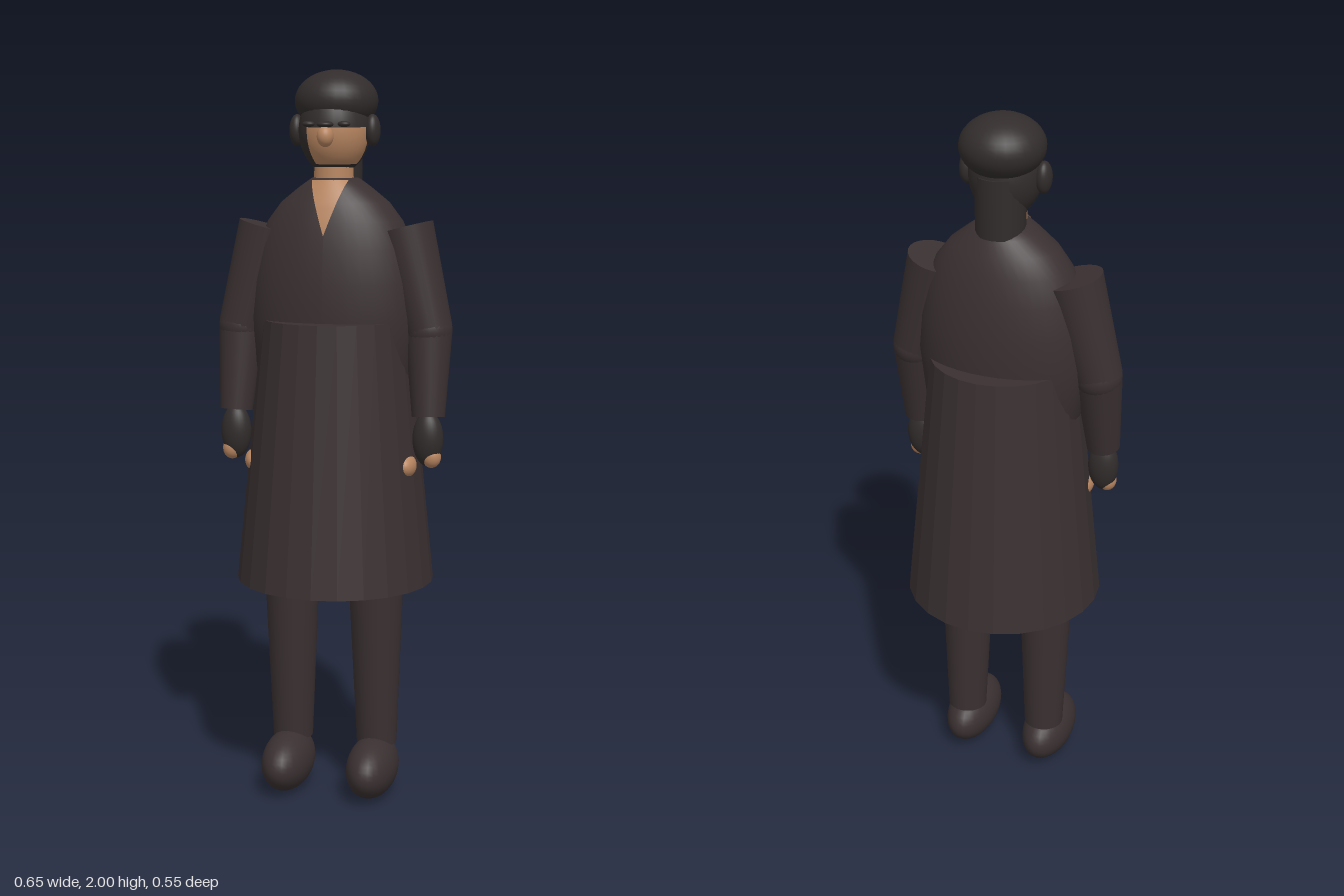
import * as THREE from 'three';

const std = (name, color, extra = {}) => {
  const m = new THREE.MeshStandardMaterial({ color, ...extra });
  m.name = name;
  return m;
};

// Torso cross-sections: height, half width, half depth
const RINGS = [
  [1.0, 0.13, 0.10], [1.2, 0.222, 0.14], [1.34, 0.238, 0.15], [1.44, 0.232, 0.149],
  [1.53, 0.214, 0.139], [1.6, 0.186, 0.124], [1.65, 0.148, 0.108], [1.69, 0.098, 0.088],
  [1.715, 0.062, 0.07], [1.72, 0.0, 0.0],
];

function torsoRadii(y) {
  let i = 0;
  while (i < RINGS.length - 2 && RINGS[i + 1][0] < y) i++;
  const a = RINGS[i], b = RINGS[i + 1], t = (y - a[0]) / (b[0] - a[0]);
  return [a[1] + (b[1] - a[1]) * t, a[2] + (b[2] - a[2]) * t];
}

// Grid of quads from a point function
function grid(rows, cols, point) {
  const pos = [], idx = [];
  for (let r = 0; r <= rows; r++) for (let c = 0; c <= cols; c++) pos.push(...point(r, c));
  for (let r = 0; r < rows; r++) for (let c = 0; c < cols; c++) {
    const a = r * (cols + 1) + c, b = a + cols + 1;
    idx.push(a, a + 1, b, b, a + 1, b + 1);
  }
  const g = new THREE.BufferGeometry();
  g.setAttribute('position', new THREE.Float32BufferAttribute(pos, 3));
  g.setIndex(idx);
  g.computeVertexNormals();
  return g;
}

export function createModel() {
  const cloth = std('dark cloth', 0x3a3031);
  const coatCloth = std('coat cloth', 0x3a3031, { flatShading: true });
  const hair = std('dark hair', 0x322c2c, { side: THREE.DoubleSide });
  const skin = std('skin', 0xb78560, { side: THREE.DoubleSide });
  const model = new THREE.Group();
  model.name = 'coatedFigure';

  const add = (name, geo, mat, pos = [0, 0, 0]) => {
    const m = new THREE.Mesh(geo, mat);
    m.name = name;
    m.position.set(...pos);
    model.add(m);
    return m;
  };
  const ellipsoid = (name, mat, pos, radii, part = []) => {
    const m = add(name, new THREE.SphereGeometry(1, 28, 20, ...part), mat, pos);
    m.scale.set(...radii);
    return m;
  };
  // Tapered cylinder from point a to point b
  const limb = (name, mat, a, b, ra, rb) => {
    const A = new THREE.Vector3(...a), B = new THREE.Vector3(...b);
    const d = A.clone().sub(B);
    const m = add(name, new THREE.CylinderGeometry(ra, rb, d.length(), 24), mat);
    m.position.copy(A).add(B).multiplyScalar(0.5);
    m.quaternion.setFromUnitVectors(new THREE.Vector3(0, 1, 0), d.normalize());
    return m;
  };

  // Coat: faceted skirt and rounded upper body
  add('coatSkirt', new THREE.CylinderGeometry(0.2, 0.273, 0.725, 24), coatCloth, [0, 0.9725, 0]);
  add('torso', grid(RINGS.length - 1, 40, (r, c) => {
    const [y, rx, rz] = RINGS[r], a = (c / 40) * Math.PI * 2;
    return [rx * Math.sin(a), y, rz * Math.cos(a)];
  }), cloth);

  // Open collar, laid just above the torso surface
  add('collarOpening', grid(10, 8, (r, c) => {
    const t = r / 10, y = 1.565 + 0.145 * t, x = (c / 4 - 1) * 0.05 * t;
    const [rx, rz] = torsoRadii(y);
    return [x, y, rz * Math.sqrt(Math.max(0, 1 - (x / rx) ** 2)) + 0.005];
  }), skin);

  // Head and neck
  const headPos = [0, 1.84, 0.01], headR = [0.093, 0.115, 0.096];
  const shell = headR.map((r) => r + 0.003);
  add('neck', new THREE.CylinderGeometry(0.052, 0.055, 0.12, 24), skin, [0, 1.73, 0.015]);
  ellipsoid('head', skin, headPos, headR);
  ellipsoid('fringe', hair, headPos, shell, [0, Math.PI * 2, 0, 1.5]);
  ellipsoid('backHair', hair, headPos, shell, [Math.PI - 0.1, Math.PI + 0.2, 0, Math.PI]);
  ellipsoid('chinBeard', hair, headPos, shell, [-0.1, Math.PI + 0.2, 2.42, 0.45]);
  ellipsoid('sideBeard', hair, headPos, shell, [0, 0.95, 1.45, 1.1]);
  add('napeHair', new THREE.CylinderGeometry(0.068, 0.066, 0.16, 24), hair, [0, 1.77, -0.026]);
  ellipsoid('nose', skin, [0, 1.825, 0.112], [0.022, 0.028, 0.024]);
  ellipsoid('noseBridge', hair, [0, 1.856, 0.112], [0.022, 0.009, 0.022]);
  ellipsoid('cap', hair, [0, 1.918, -0.012], [0.112, 0.082, 0.114]);

  // Mirrored parts
  for (const [side, s] of [['left', 1], ['right', -1]]) {
    ellipsoid(side + 'Ear', hair, [s * 0.104, 1.84, 0.008], [0.021, 0.043, 0.029]);
    ellipsoid(side + 'Brow', hair, [s * 0.048, 1.857, 0.1], [0.017, 0.008, 0.013]);

    // Sleeve, glove and hand
    const elbow = [s * 0.262, 1.31, 0.012];
    limb(side + 'UpperSleeve', cloth, [s * 0.19, 1.583, 0], elbow, 0.08, 0.065);
    ellipsoid(side + 'Elbow', cloth, elbow, [0.064, 0.064, 0.066]);
    limb(side + 'LowerSleeve', cloth, elbow, [s * 0.27, 1.08, 0.048], 0.064, 0.045);
    ellipsoid(side + 'Glove', hair, [s * 0.27, 1.02, 0.052], [0.042, 0.075, 0.035]);
    ellipsoid(side + 'Fingers', skin, [s * 0.281, 0.972, 0.056], [0.026, 0.03, 0.025]);
    ellipsoid(side + 'Thumb', skin, [s * 0.213, 0.945, 0.06], [0.027, 0.032, 0.045]);

    // Trouser leg and shoe
    limb(side + 'Leg', cloth, [s * 0.12, 0.8, 0.022], [s * 0.122, 0.14, 0.008], 0.084, 0.056);
    ellipsoid(side + 'Shoe', cloth, [s * 0.122, 0.0825, 0.06], [0.07, 0.0825, 0.135]);
  }
  return model;
}
